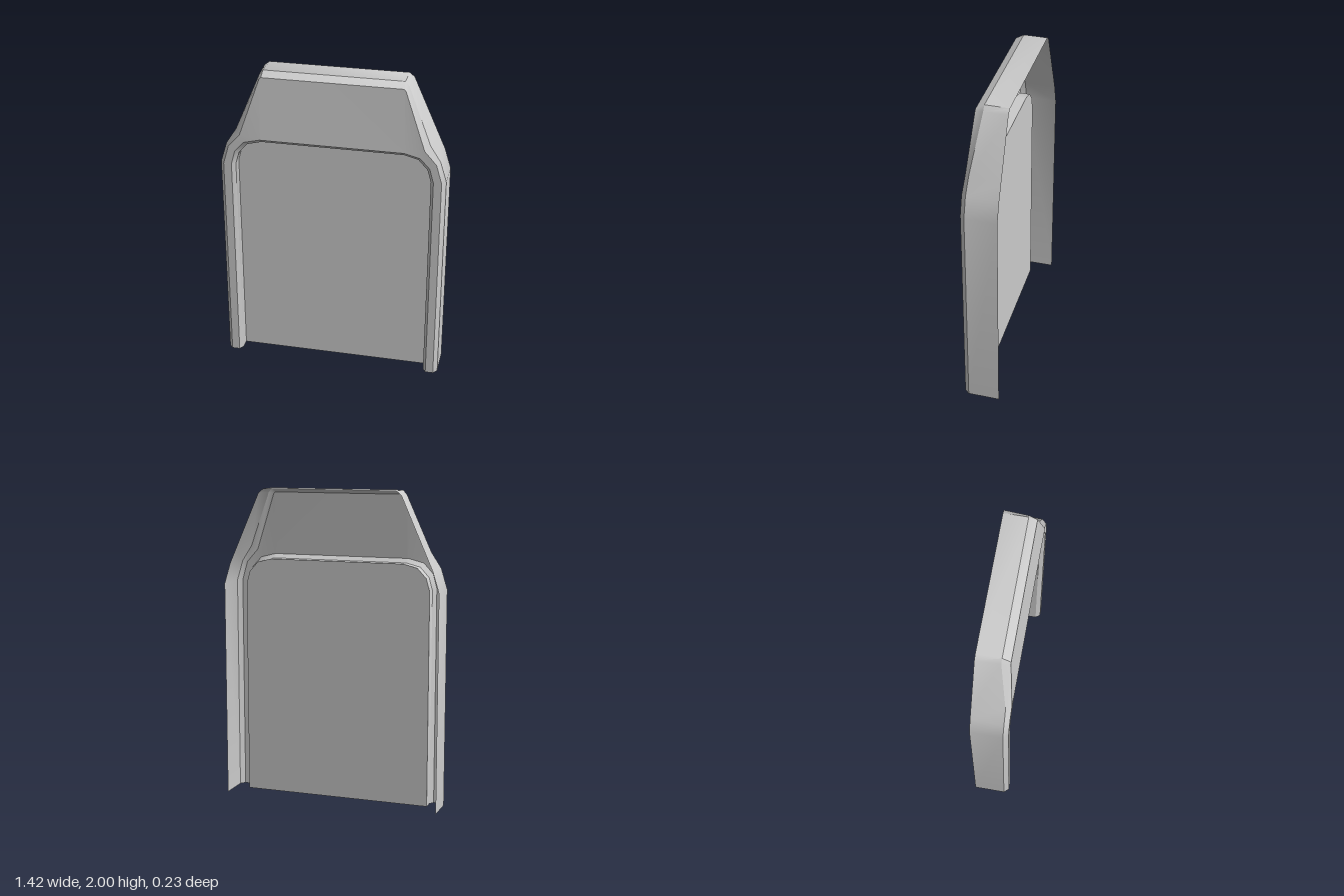
import * as THREE from 'three';
import { toCreasedNormals } from 'three/addons/utils/BufferGeometryUtils.js';

// Half outlines [x, y, z], from the bottom edge up to the top corner.
const backEdge = [[0.71, 0, -0.115], [0.71, 1.39, -0.115], [0.67, 1.52, -0.115], [0.63, 1.61, -0.115], [0.467, 1.975, -0.115], [0.435, 2, -0.115]];
const bevelOuter = [[0.71, 0, 0.085], [0.71, 1.39, 0.085], [0.67, 1.52, 0.085], [0.605, 1.62, 0.083], [0.46, 1.97, 0.035], [0.435, 2, 0.035]];
const bevelInner = [[0.685, 0, 0.115], [0.685, 1.39, 0.115], [0.65, 1.51, 0.115], [0.575, 1.595, 0.115], [0.447, 1.96, 0.087], [0.437, 1.97, 0.086]];
const recessEdge = [[0.635, 0, 0.115], [0.635, 1.39, 0.115], [0.61, 1.48, 0.115], [0.55, 1.545, 0.115], [0.45, 1.57, 0.115], [0.44, 1.57, 0.115]];
const recessStep = [[0.615, 0, 0.085], [0.615, 1.38, 0.085], [0.592, 1.46, 0.085], [0.535, 1.522, 0.085], [0.445, 1.545, 0.085], [0.435, 1.545, 0.085]];
const recessFloor = recessStep.map(([x, y]) => [x, y, 0.02]);

// Full open outline: right-hand half up, mirrored half down.
const mirrored = (half) => [...half, ...half.map(([x, y, z]) => [-x, y, z]).reverse()];

// Surface strip joining two outlines.
function strip(outerHalf, innerHalf) {
  const outer = mirrored(outerHalf), inner = mirrored(innerHalf);
  const n = outer.length, index = [];
  for (let i = 0; i < n - 1; i++) {
    index.push(i, i + 1, n + i, i + 1, n + i + 1, n + i);
  }
  const geometry = new THREE.BufferGeometry();
  geometry.setAttribute('position', new THREE.Float32BufferAttribute([...outer, ...inner].flat(), 3));
  geometry.setIndex(index);
  geometry.computeVertexNormals();
  return toCreasedNormals(geometry, 0.7);
}

export function createModel() {
  const group = new THREE.Group();
  const material = new THREE.MeshStandardMaterial({ color: 0xcccccc, side: THREE.DoubleSide });
  const add = (name, geometry) => {
    const mesh = new THREE.Mesh(geometry, material);
    mesh.name = name;
    group.add(mesh);
    return mesh;
  };

  // Thin shell, open at the back and the bottom
  add('outerWall', strip(backEdge, bevelOuter));
  add('outerBevel', strip(bevelOuter, bevelInner));
  add('frontFrame', strip(bevelInner, recessEdge));
  add('recessBevel', strip(recessEdge, recessStep));
  add('recessWall', strip(recessStep, recessFloor));

  // Flat panel set into the frame
  const outline = new THREE.Shape(mirrored(recessFloor).map(([x, y]) => new THREE.Vector2(x, y)));
  add('recessedPanel', new THREE.ShapeGeometry(outline)).position.z = 0.02;

  return group;
}
